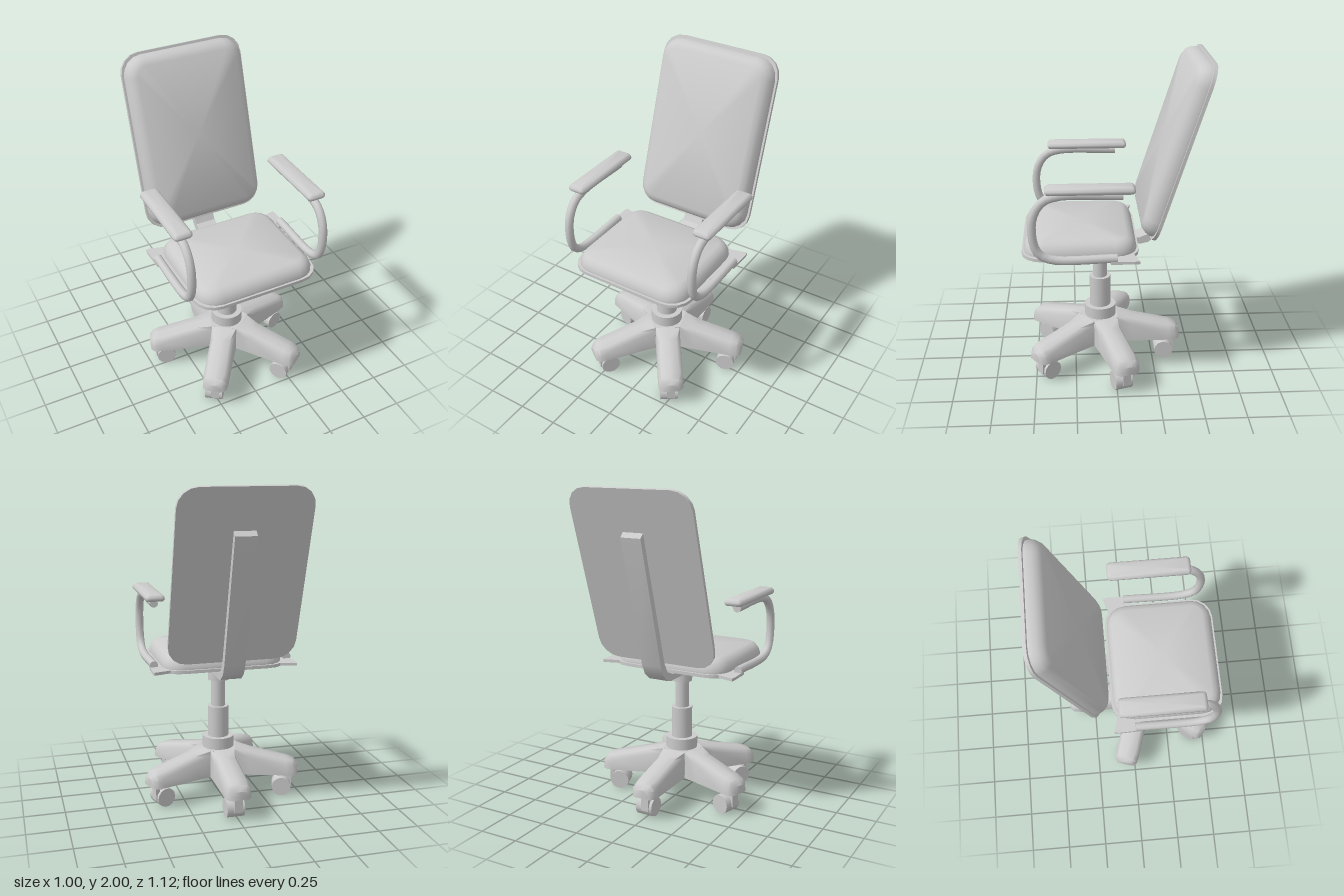
import * as THREE from 'three';
import { toCreasedNormals } from 'three/addons/utils/BufferGeometryUtils.js';

const AXIS_Z = 0.088; // column axis
const grey = new THREE.MeshStandardMaterial({ color: 0xcccccc });
const greyThin = new THREE.MeshStandardMaterial({ color: 0xcccccc, side: THREE.DoubleSide });

function add(parent, name, geometry, x = 0, y = 0, z = 0, material = grey) {
  const mesh = new THREE.Mesh(geometry, material);
  mesh.name = name;
  mesh.position.set(x, y, z);
  parent.add(mesh);
  return mesh;
}

// Skin a list of equally long rings of [x, y, z] points
function loft(rings, closed, crease) {
  const n = rings[0].length, index = [];
  for (let i = 0; i < rings.length - 1; i++) {
    for (let j = 0; j < (closed ? n : n - 1); j++) {
      const k = (j + 1) % n;
      const a = i * n + j, b = i * n + k, c = a + n, d = b + n;
      index.push(a, b, d, a, d, c);
    }
  }
  const g = new THREE.BufferGeometry();
  g.setAttribute('position', new THREE.Float32BufferAttribute(rings.flat(2), 3));
  g.setIndex(index);
  return toCreasedNormals(g, crease);
}

// Rounded rectangle outline, counter-clockwise in XY
function outline(w, h, r, steps = 4) {
  const pts = [];
  for (let c = 0; c < 4; c++) {
    const sx = c === 0 || c === 3 ? 1 : -1, sy = c < 2 ? 1 : -1;
    for (let i = 0; i <= steps; i++) {
      const a = (c + i / steps) * Math.PI / 2;
      pts.push([sx * (w / 2 - r) + r * Math.cos(a), sy * (h / 2 - r) + r * Math.sin(a)]);
    }
  }
  return pts;
}

// Slab built from [inset, height] steps, closed at both ends
function pillow(w, h, r, profile) {
  const rings = profile.map(([inset, z]) =>
    outline(w - 2 * inset, h - 2 * inset, Math.max(r - inset, 0.008)).map(([x, y]) => [x, y, z]));
  const flat = z => rings[0].map(() => [0, 0, z]);
  return loft([flat(profile[0][1]), ...rings, flat(profile.at(-1)[1] + 0.002)], true, 0.95);
}

const PLATE = [[0, 0], [0, 0.02]];
const CUSHION = [[0, 0], [0, 0.015], [0.012, 0.045], [0.03, 0.068], [0.06, 0.083]];

// Star base: five hollow legs, each with a caster
function buildBase() {
  const base = new THREE.Group();
  base.name = 'base';
  base.position.z = AXIS_Z;

  // [radius, top height, bottom half width, top half width]
  const stations = [
    [0.11, 0.32, 0.08, 0.078], [0.2, 0.3, 0.079, 0.055], [0.44, 0.245, 0.08, 0.055],
    [0.485, 0.232, 0.076, 0.05], [0.51, 0.2, 0.055, 0.04], [0.512, 0.2, 0, 0],
  ];
  const legGeometry = loft(stations.map(([r, y, wb, wt]) => [
    [-wb, 0.145, -r], [-wb * 0.97, y - 0.035, -r], [-wt, y - 0.004, -r], [0, y, -r],
    [wt, y - 0.004, -r], [wb * 0.97, y - 0.035, -r], [wb, 0.145, -r],
  ]), false, 0.9);
  const wheelGeometry = new THREE.CylinderGeometry(0.06, 0.06, 0.11, 14).rotateZ(Math.PI / 2);

  for (let i = 0; i < 5; i++) {
    const arm = new THREE.Group();
    arm.name = 'baseArm';
    arm.rotation.y = i * Math.PI * 2 / 5;
    base.add(arm);
    add(arm, 'leg', legGeometry, 0, 0, 0, greyThin);
    add(arm, 'casterWheel', wheelGeometry, 0.012, 0.062, -0.41);
    add(arm, 'casterBracket', new THREE.BoxGeometry(0.05, 0.11, 0.028), 0, 0.105, -0.462);
    add(arm, 'casterFork', new THREE.BoxGeometry(0.05, 0.025, 0.09), 0, 0.13, -0.431);
    add(arm, 'casterStem', new THREE.CylinderGeometry(0.02, 0.02, 0.11, 10), 0, 0.18, -0.42);
  }
  const top = new THREE.CircleGeometry(0.136, 5).rotateZ(Math.PI / 2 + Math.PI / 5).rotateX(-Math.PI / 2);
  add(base, 'baseTop', top, 0, 0.318, 0, greyThin);
  return base;
}

// Gas lift column: [radius, bottom, top]
function buildColumn() {
  const column = new THREE.Group();
  column.name = 'column';
  column.position.z = AXIS_Z;
  const parts = {
    hubCollar: [0.1, 0.315, 0.39], outerSleeve: [0.066, 0.38, 0.588],
    piston: [0.044, 0.58, 0.77], upperCollar: [0.065, 0.76, 0.857],
  };
  for (const [name, [r, y0, y1]] of Object.entries(parts)) {
    add(column, name, new THREE.CylinderGeometry(r, r, y1 - y0, 20), 0, (y0 + y1) / 2);
  }
  add(column, 'mountingPlate', new THREE.BoxGeometry(0.295, 0.015, 0.21), 0, 0.861, 0);
  return column;
}

function buildSeat() {
  const seat = new THREE.Group();
  seat.name = 'seat';
  seat.position.set(0, 0.868, 0.213);
  seat.rotation.x = -Math.PI / 2;
  add(seat, 'seatPlate', pillow(0.79, 0.695, 0.13, PLATE));
  add(seat, 'seatCushion', pillow(0.755, 0.67, 0.125, CUSHION), 0, 0, 0.02);
  return seat;
}

function buildBackrest() {
  const back = new THREE.Group();
  back.name = 'backrest';
  back.position.set(0, 0.95, -0.222);
  back.rotation.x = -0.31;
  add(back, 'backPlate', pillow(0.785, 1.095, 0.12, PLATE), 0, 0.5475, 0);
  add(back, 'backCushion', pillow(0.76, 1.065, 0.12, CUSHION), 0, 0.5475, 0.02);
  return back;
}

// Bent bar joining seat and backrest, side profile in (-z, y)
function buildSpine() {
  const profile = [
    [0.01, 0.828], [0.165, 0.828], [0.21, 0.838], [0.262, 0.88], [0.293, 0.943], [0.511, 1.723],
    [0.483, 1.75], [0.25, 0.955], [0.215, 0.895], [0.15, 0.868], [0.01, 0.868],
  ].map(p => new THREE.Vector2(...p));
  const g = new THREE.ExtrudeGeometry(new THREE.Shape(profile), { depth: 0.13, bevelEnabled: false });
  g.translate(0, 0, -0.065).rotateY(Math.PI / 2);
  const spine = new THREE.Mesh(toCreasedNormals(g, 0.6), grey);
  spine.name = 'backSpine';
  return spine;
}

function buildArmrest(side) {
  const arm = new THREE.Group();
  arm.name = side > 0 ? 'leftArmrest' : 'rightArmrest';
  const x = side * 0.428;

  // Bent tube with end caps
  const path = [
    [1.288, -0.03], [1.288, 0.34], [1.255, 0.425], [1.165, 0.48], [1.02, 0.485],
    [0.94, 0.455], [0.9, 0.38], [0.9, 0],
  ].map(([y, z]) => new THREE.Vector3(x, y, z));
  const tube = new THREE.TubeGeometry(new THREE.CatmullRomCurve3(path, false, 'centripetal'), 32, 0.026, 10);
  add(arm, 'armTube', tube, 0, 0, 0, greyThin);
  for (const p of [path[0], path.at(-1)]) {
    add(arm, 'tubeCap', new THREE.CircleGeometry(0.026, 10).rotateY(Math.PI), p.x, p.y, p.z);
  }

  // Pad
  const pad = pillow(0.116, 0.51, 0.025, [[0.008, 0], [0, 0.01], [0, 0.022], [0.012, 0.036], [0.022, 0.04]]);
  add(arm, 'armPad', pad, x, 1.31, 0.155).rotation.x = -Math.PI / 2;

  // Flat bracket fixing the tube to the seat plate
  const shape = new THREE.Shape([[0.34, -0.04], [0.45, -0.04], [0.455, 0.1], [0.45, 0.13], [0.34, 0.1]]
    .map(([px, py]) => new THREE.Vector2(side * px, py)));
  const bracket = new THREE.ExtrudeGeometry(shape, { depth: 0.018, bevelEnabled: false });
  add(arm, 'armBracket', bracket.rotateX(-Math.PI / 2), 0, 0.87, 0);
  return arm;
}

export function createModel() {
  const chair = new THREE.Group();
  chair.name = 'officeChair';
  chair.add(buildBase(), buildColumn(), buildSeat(), buildBackrest(), buildSpine());
  chair.add(buildArmrest(1), buildArmrest(-1));
  return chair;
}
